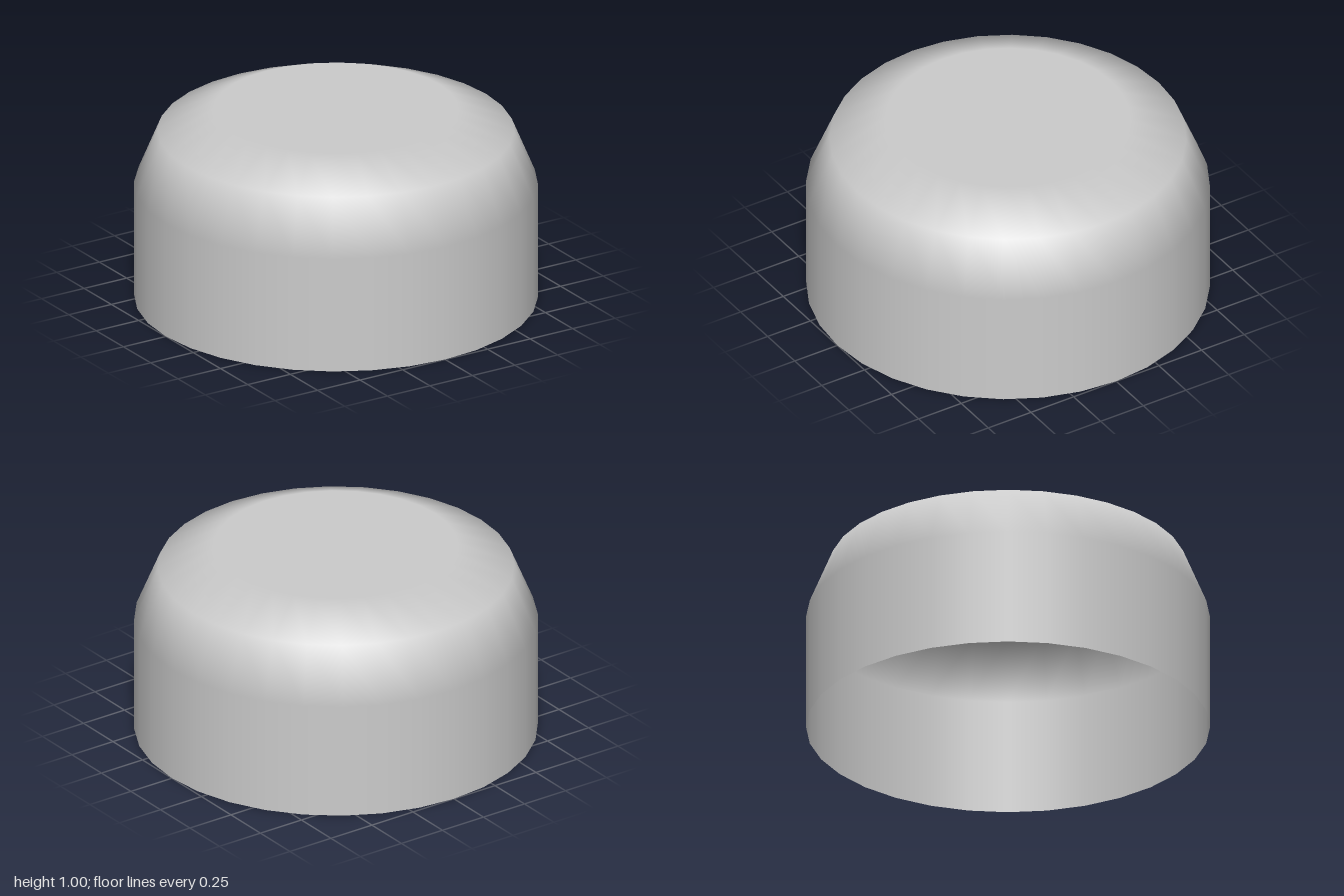
import * as THREE from 'three';

export function createModel() {
  const group = new THREE.Group();
  group.name = 'domedCap';

  // Profile: straight wall, two-step rounded shoulder, flat top
  const bevel = 0.4;
  const profile = [new THREE.Vector2(1, 0)];
  const tilts = [0];
  for (let i = 0; i <= 2; i++) {
    const a = (i * Math.PI) / 4;
    profile.push(new THREE.Vector2(0.6 + bevel * Math.cos(a), 0.6 + bevel * Math.sin(a)));
    tilts.push(a);
  }
  profile.push(new THREE.Vector2(0, 1));
  tilts.push(Math.PI / 2);

  const segments = 32;
  const geometry = new THREE.LatheGeometry(profile, segments);

  // Round normals on the shoulder, so wall and top shade flat
  const normal = geometry.attributes.normal;
  for (let s = 0; s <= segments; s++) {
    const phi = (s / segments) * Math.PI * 2;
    tilts.forEach((tilt, j) => {
      const flat = Math.cos(tilt);
      normal.setXYZ(s * tilts.length + j, flat * Math.sin(phi), Math.sin(tilt), flat * Math.cos(phi));
    });
  }

  // Thin shell, open at the bottom
  const shell = new THREE.Mesh(
    geometry,
    new THREE.MeshStandardMaterial({ color: 0xcccccc, side: THREE.DoubleSide })
  );
  shell.name = 'capShell';
  group.add(shell);
  return group;
}
